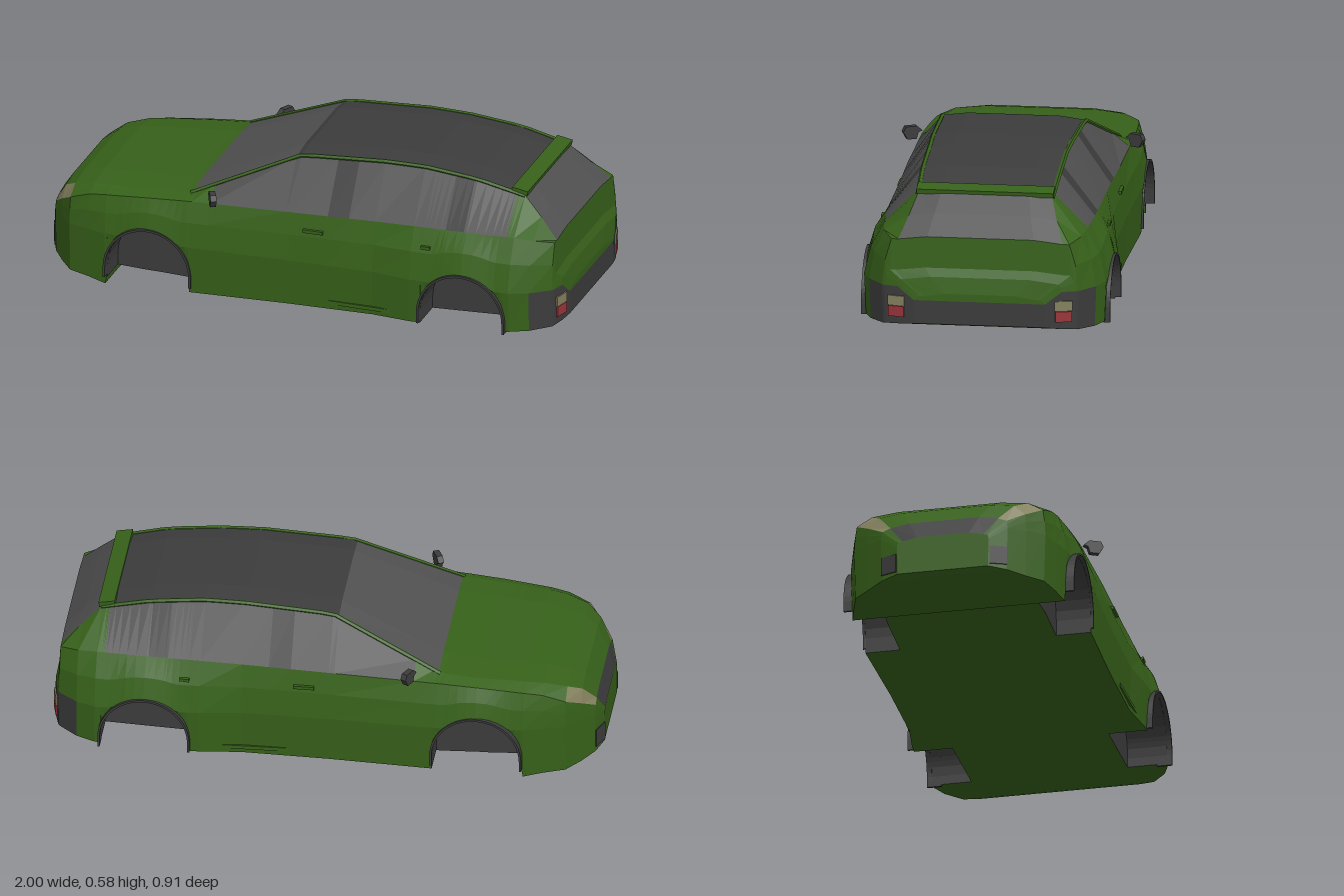
import * as THREE from 'three';

const mat = (color) => new THREE.MeshStandardMaterial({ color, flatShading: true, side: THREE.DoubleSide });
const mats = {
  body: mat(0x37611a), trim: mat(0x3c3c3c), glass: mat(0x515151),
  lamp: mat(0x84815f), red: mat(0x99353a),
};

// Body keys, nose to tail: x, topY, topHalfZ, beltY, beltHalfZ, maxHalfZ, bottomY
const KEYS = [
  [-1, .18, .15, .165, .165, .17, .04],
  [-.975, .25, .20, .225, .23, .235, .03],
  [-.93, .315, .25, .265, .29, .295, .02],
  [-.88, .345, .29, .30, .345, .355, .015],
  [-.8, .365, .31, .33, .36, .38, .01],
  [-.73, .372, .32, .34, .37, .40, 0],
  [-.725, .372, .32, .34, .37, .40, .03],
  [-.56, .382, .335, .355, .38, .42, .028],
  [-.42, .393, .335, .365, .385, .425, .022],
  [-.02, .567, .26, .378, .385, .415, .027],
  [.3, .585, .255, .385, .38, .415, .03],
  [.45, .583, .25, .388, .38, .437, .033],
  [.65, .562, .25, .39, .378, .447, .04],
  [.83, .52, .245, .39, .37, .442, .047],
  [.9, .455, .27, .385, .36, .415, .05],
  [.97, .385, .30, .373, .325, .36, .055],
  [.976, .27, .31, .258, .33, .35, .057],
  [.99, .24, .28, .228, .29, .30, .06],
  [1, .18, .20, .168, .22, .24, .065],
];
const ARCHES = [-.56, .65];
const R = .16, ARCH_Y = .08, WELL_Z = .29;

function sample(x) {
  let i = 0;
  while (i < KEYS.length - 2 && KEYS[i + 1][0] < x) i++;
  const a = KEYS[i], b = KEYS[i + 1], t = (x - a[0]) / (b[0] - a[0]);
  return a.map((v, k) => v + (b[k] - v) * t);
}

// Half cross-section, floor centre outwards and up to the roof centre
function section({ x, arch }) {
  const [, top, topZ, belt, beltZ, maxZ, floor] = sample(x);
  const dx = arch === undefined ? 0 : x - arch;
  const edge = arch === undefined ? floor : ARCH_Y + Math.sqrt(Math.max(0, R * R - dx * dx));
  const low = Math.max(Math.min(.2, floor + .85 * (belt - floor)), edge + .006);
  const inner = Math.min(WELL_Z, maxZ * .7);
  return [
    [0, floor], [inner, floor], [inner, edge], [maxZ * .985, edge], [maxZ, low],
    [maxZ - (maxZ - beltZ) * .35, low + (belt - low) * .55],
    [beltZ, belt], [topZ, top - .012], [topZ * .65, top], [0, top],
  ].map(([z, y]) => [x, y, z]);
}

// Stations along the car, doubled where an arch begins and ends
function stations() {
  const list = [...KEYS.map((k) => k[0]), -.33, -.04, .12, .2, .57, .64, .8]
    .filter((x) => ARCHES.every((c) => Math.abs(x - c) > R)).map((x) => ({ x }));
  for (const c of ARCHES) {
    list.push({ x: c - R, o: 0 }, { x: c + R, o: 2 });
    const xs = [.57, .64, .8].filter((x) => Math.abs(x - c) < R);
    for (let i = 0; i <= 14; i++) xs.push(c - R * Math.cos(Math.PI * i / 14));
    xs.forEach((x) => list.push({ x, arch: c, o: 1 }));
  }
  return list.sort((a, b) => (Math.abs(a.x - b.x) > 1e-6 ? a.x - b.x : (a.o ?? 1) - (b.o ?? 1)));
}

// Which part a cell of the body belongs to
function partAt(row, x) {
  if (row === 1 || row === 2) return ARCHES.some((c) => Math.abs(x - c) < R + 1e-4) ? 'wheelWells' : 'bodyShell';
  if (row === 3 && x > .9) return 'rearBumper';
  if (row === 6) {
    if (x > -.975 && x < -.88) return 'headlights';
    if (x > -.33 && x < .8) return (x > .12 && x < .2) || (x > .57 && x < .64) ? 'pillars' : 'sideWindows';
  }
  if (row >= 7) {
    if (x < -.975) return 'grille';
    if (x > -.42 && x < -.04) return 'windscreen';
    if (x > -.04 && x < .83) return 'roof';
    if (x > .83 && x < .97) return 'rearWindow';
  }
  return 'bodyShell';
}
const PART_MATS = {
  bodyShell: 'body', wheelWells: 'trim', rearBumper: 'trim', headlights: 'lamp', pillars: 'trim',
  sideWindows: 'glass', grille: 'trim', windscreen: 'glass', roof: 'trim', rearWindow: 'glass',
};

function addBody(group) {
  const parts = {};
  const flip = ([x, y, z]) => [x, y, -z];
  const quad = (part, a, b, c, d) => (parts[part] ??= []).push(...a, ...b, ...c, ...a, ...c, ...d);
  const st = stations(), secs = st.map(section);
  for (let s = 0; s < secs.length - 1; s++) {
    for (let i = 0; i < 9; i++) {
      const q = [secs[s][i], secs[s + 1][i], secs[s + 1][i + 1], secs[s][i + 1]];
      const part = partAt(i, (st[s].x + st[s + 1].x) / 2);
      quad(part, ...q);
      quad(part, ...q.map(flip).reverse());
    }
  }
  // Nose and tail caps
  const nose = secs[0], tail = secs[secs.length - 1];
  for (let i = 3; i < 9; i++) {
    quad(i === 3 ? 'rearBumper' : 'bodyShell', tail[i], flip(tail[i]), flip(tail[i + 1]), tail[i + 1]);
    quad('bodyShell', nose[i + 1], flip(nose[i + 1]), flip(nose[i]), nose[i]);
  }
  for (const [name, pos] of Object.entries(parts)) {
    const geo = new THREE.BufferGeometry();
    geo.setAttribute('position', new THREE.Float32BufferAttribute(pos, 3));
    geo.computeVertexNormals();
    add(group, name, geo, mats[PART_MATS[name]]);
  }
}

function add(group, name, geo, material, pos = [0, 0, 0], turnY = 0) {
  const mesh = new THREE.Mesh(geo, material);
  mesh.name = name;
  mesh.position.set(...pos);
  mesh.rotation.y = turnY;
  group.add(mesh);
  return mesh;
}
const box = (w, h, d) => new THREE.BoxGeometry(w, h, d);

// Thin lip around a wheel arch
function archTrim(depth) {
  const s = new THREE.Shape();
  const r = R + .008;
  s.moveTo(r, -.04).lineTo(r, 0).absarc(0, 0, r, 0, Math.PI, false);
  s.lineTo(-r, -.04).lineTo(-R, -.04).lineTo(-R, 0).absarc(0, 0, R, Math.PI, 0, true);
  s.lineTo(R, -.04);
  return new THREE.ExtrudeGeometry(s, { depth, bevelEnabled: false, curveSegments: 14 });
}

function mirrorGeometry() {
  const s = new THREE.Shape([[-.035, .008], [-.02, .002], [-.012, -.022], [.022, -.022], [.038, .006], [.028, .026], [-.015, .026]]
    .map(([x, y]) => new THREE.Vector2(x, y)));
  const geo = new THREE.ExtrudeGeometry(s, { depth: .022, bevelEnabled: false });
  return geo.rotateY(-Math.PI / 2);
}

// Everything that occurs once on each side
function addSide(group) {
  add(group, 'frontArchTrim', archTrim(.05), mats.trim, [ARCHES[0], ARCH_Y, .378]);
  add(group, 'rearArchTrim', archTrim(.055), mats.trim, [ARCHES[1], ARCH_Y, .4]);
  add(group, 'wingMirror', mirrorGeometry(), mats.trim, [-.305, .397, .402], .45);
  add(group, 'frontDoorHandle', box(.075, .012, .014), mats.body, [.07, .32, .402]);
  add(group, 'rearDoorHandle', box(.035, .012, .014), mats.body, [.505, .323, .412]);
  add(group, 'sill', box(.34, .014, .02), mats.body, [.3, .055, .408], -.03);
  add(group, 'tailLampUpper', box(.014, .037, .065), mats.lamp, [.986, .146, .305], -.24);
  add(group, 'tailLampLower', box(.014, .039, .06), mats.red, [.986, .106, .305], -.24);
  add(group, 'lowerIntake', box(.012, .07, .065), mats.trim, [-.985, .085, .202], .39);
  // Windscreen pillar and roof rail follow the upper body edge
  const edge = [-.42, -.2, -.02, .3, .45, .65, .83].map((x) => {
    const k = sample(x);
    return new THREE.Vector3(x, k[1] - .014, k[2]);
  });
  const path = new THREE.CurvePath();
  for (let i = 1; i < edge.length; i++) path.add(new THREE.LineCurve3(edge[i - 1], edge[i]));
  add(group, 'roofRail', new THREE.TubeGeometry(path, 24, .009, 5), mats.body);
}

export function createModel() {
  const car = new THREE.Group();
  car.name = 'car';
  addBody(car);
  for (const s of [1, -1]) {
    const side = new THREE.Group();
    side.name = s > 0 ? 'leftSideDetails' : 'rightSideDetails';
    addSide(side);
    side.scale.z = s;
    car.add(side);
  }
  // Roof spoiler
  const spoiler = add(car, 'spoiler', box(.06, .018, .5), mats.body, [.81, .522, 0]);
  spoiler.rotation.z = -.18;
  return car;
}
